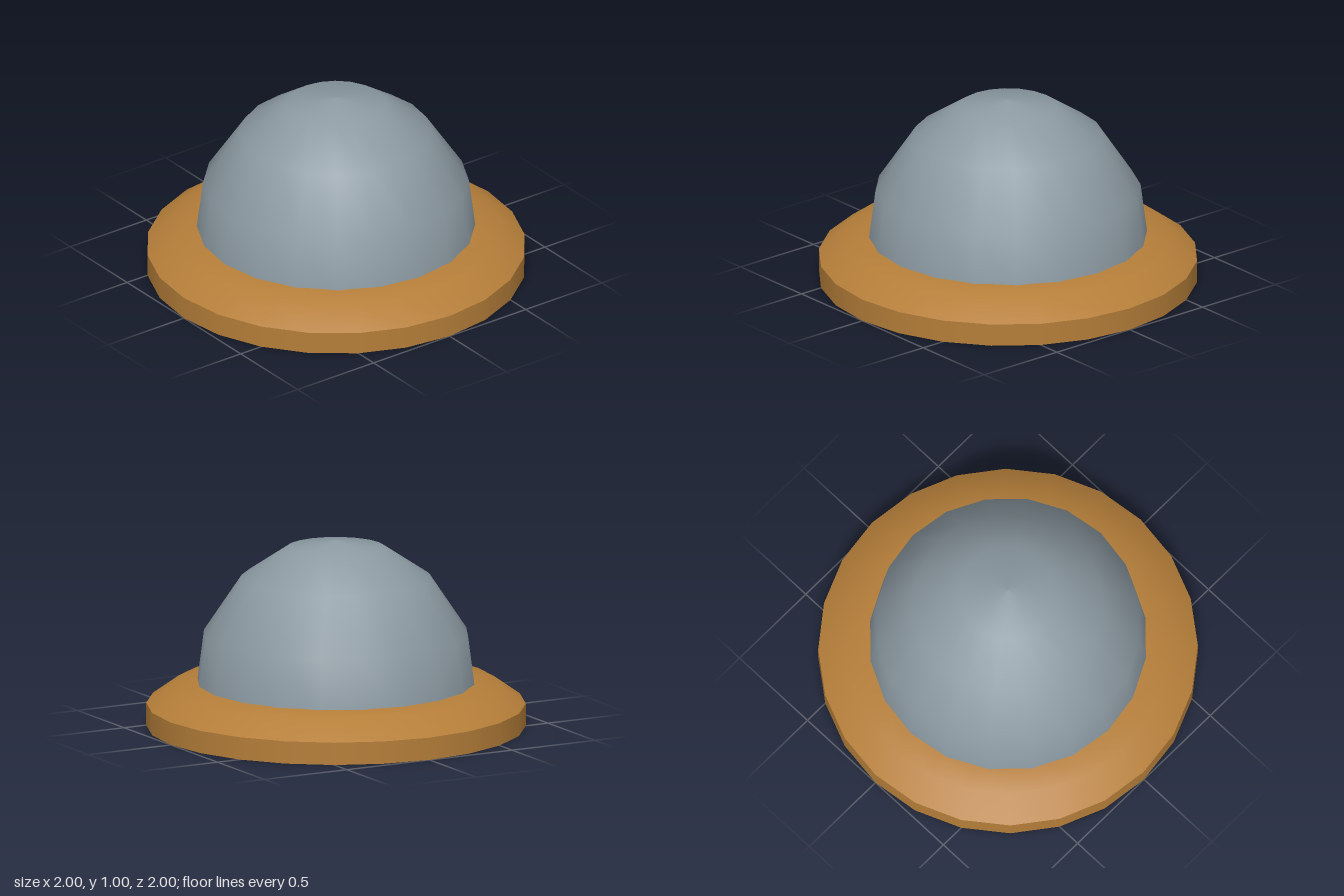
import * as THREE from 'three';

const brass = new THREE.MeshStandardMaterial({ color: 0xb57e39, side: THREE.DoubleSide });
brass.name = 'brass';
const grey = new THREE.MeshStandardMaterial({ color: 0x8c9aa2, side: THREE.DoubleSide });
grey.name = 'steel grey';

// Thin open shell turned around the y axis; profile runs bottom to top as [radius, y]
function turned(name, profile, sides, material) {
  const points = profile.map(([r, y]) => new THREE.Vector2(r, y));
  const mesh = new THREE.Mesh(new THREE.LatheGeometry(points, sides), material);
  mesh.name = name;
  return mesh;
}

export function createModel() {
  const model = new THREE.Group();
  model.name = 'domedCap';

  // Base ring: upright wall and sloped top, separate so the edge between stays sharp
  const base = new THREE.Group();
  base.name = 'baseRing';
  base.add(
    turned('baseWall', [[1, 0], [1, 0.12]], 24, brass),
    turned('baseTop', [[1, 0.12], [0.86, 0.22], [0.72, 0.24]], 24, brass)
  );

  // Hollow dome, its lower edge reaching just below the ring's inner edge
  const dome = turned('dome',
    [[0.74, 0.19], [0.7, 0.5], [0.5, 0.8], [0.26, 0.96], [0, 1]], 20, grey);

  model.add(base, dome);
  return model;
}
